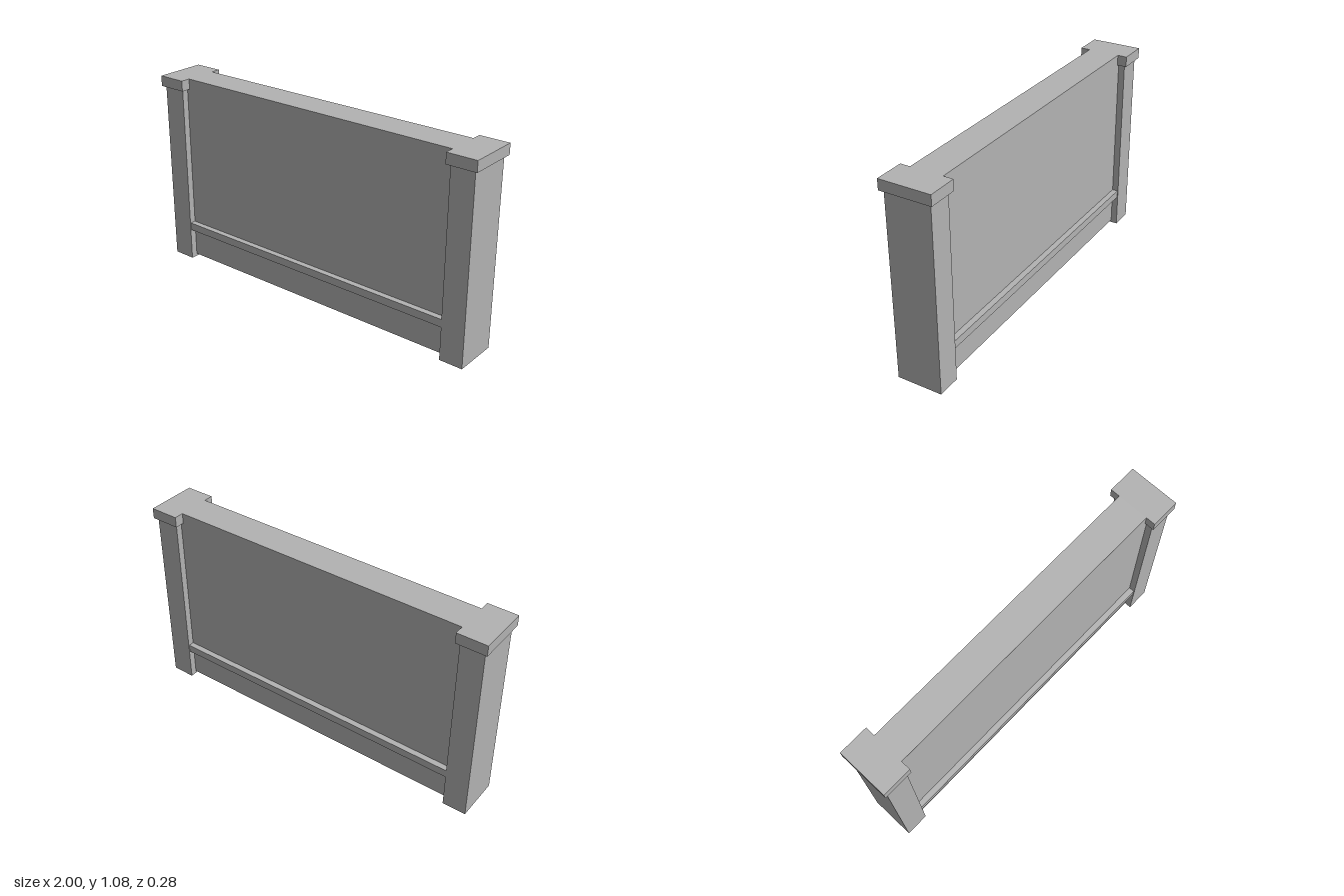
import * as THREE from 'three';

export function createModel() {
  const group = new THREE.Group();
  const grey = new THREE.MeshStandardMaterial({ color: 0xb2b2b2 });
  grey.name = 'plain grey';

  // Box spanning y0..y1, centred on x and on z = 0
  const addBox = (name, x, y0, y1, width, depth) => {
    const mesh = new THREE.Mesh(new THREE.BoxGeometry(width, y1 - y0, depth), grey);
    mesh.name = name;
    mesh.position.set(x, (y0 + y1) / 2, 0);
    group.add(mesh);
  };

  const height = 1.078, capBottom = 1.02;
  const postInner = 0.854, postOuter = 0.983;
  const capInner = 0.838;

  // Wall panel, flush with the cap tops and stopping at the posts
  addBox('wallPanel', 0, 0.014, capBottom, postInner * 2, 0.176);
  addBox('wallPanelTop', 0, capBottom, height, capInner * 2, 0.176);

  // Rail projecting from both faces of the panel
  addBox('lowerRail', 0, 0.18, 0.223, postInner * 2, 0.24);

  // End posts with overhanging caps
  for (const [side, s] of [['left', 1], ['right', -1]]) {
    addBox(side + 'Post', s * (postInner + postOuter) / 2, 0, capBottom, postOuter - postInner, 0.248);
    addBox(side + 'PostCap', s * (capInner + 1) / 2, capBottom, height, 1 - capInner, 0.282);
  }
  return group;
}
